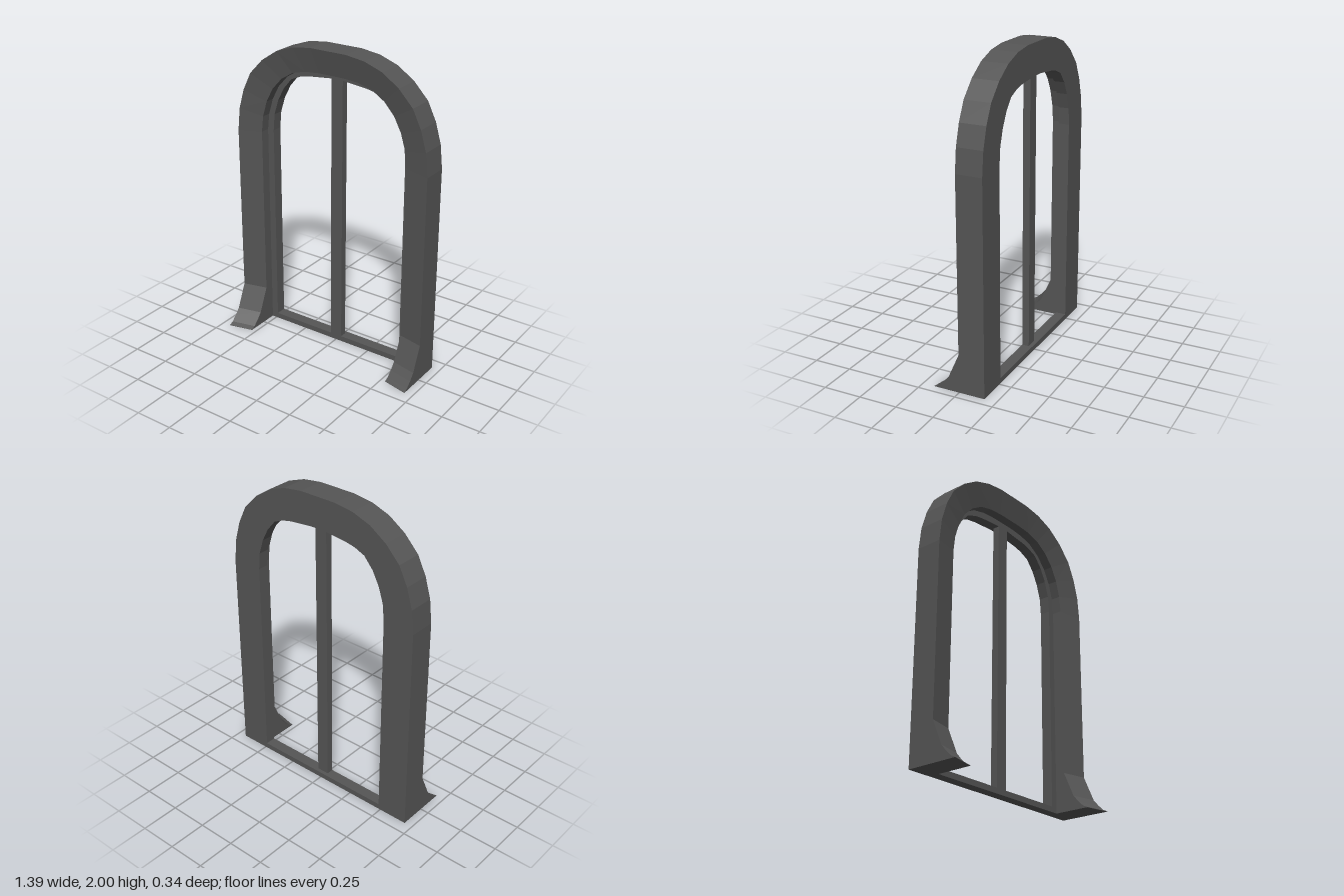
import * as THREE from 'three';

// Flat-shaded geometry from a list of polygons (each fanned from its first corner)
function fromPolygons(polys, flip = false) {
  const pos = [];
  for (const p of polys) {
    for (let i = 1; i < p.length - 1; i++) {
      const tri = flip ? [p[0], p[i + 1], p[i]] : [p[0], p[i], p[i + 1]];
      tri.forEach((v) => pos.push(...v));
    }
  }
  const g = new THREE.BufferGeometry();
  g.setAttribute('position', new THREE.Float32BufferAttribute(pos, 3));
  g.computeVertexNormals();
  return g;
}

// Right half of an arch outline, mirrored to run from right foot to left foot
function archPath(half) {
  return [...half, ...half.slice().reverse().map(([x, y]) => [-x, y])];
}

const HALF = 0.694, REVEAL = 0.532, BACK = -0.17, SLOPE = -0.037, LIP = -0.1;

const outer = archPath([[HALF, 0], [HALF, 1.37], [0.678, 1.52], [0.64, 1.65], [0.583, 1.766],
  [0.487, 1.866], [0.376, 1.94], [0.254, 1.983], [0.127, 2]]);
const reveal = archPath([[REVEAL, 0], [REVEAL, 1.38], [0.52, 1.485], [0.488, 1.59], [0.44, 1.68],
  [0.37, 1.757], [0.285, 1.81], [0.19, 1.835], [0.09, 1.843]]);
const opening = archPath([[0.487, 0], [0.487, 1.38], [0.477, 1.49], [0.445, 1.59], [0.4, 1.675],
  [0.34, 1.745], [0.27, 1.774], [0.207, 1.787], [0.05, 1.803]]);

// Stepped frame section swept round the arch
function frameGeometry() {
  const rails = [[outer, 0], [outer, BACK], [opening, BACK], [opening, LIP], [reveal, LIP], [reveal, SLOPE]];
  const sections = outer.map((_, i) => rails.map(([path, z]) => [...path[i], z]));
  const polys = [];
  for (let i = 0; i < sections.length - 1; i++) {
    const a = sections[i], b = sections[i + 1];
    for (let j = 0; j < 6; j++) {
      const k = (j + 1) % 6;
      polys.push([a[j], a[k], b[k], b[j]]);
    }
  }
  // Undersides of the legs, fanned from the inside corner of the step
  const cap = (s) => [s[4], s[5], s[0], s[1], s[2], s[3]];
  polys.push(cap(sections[0]).reverse().slice(-1).concat(cap(sections[0]).reverse().slice(0, -1)));
  polys.push(cap(sections[sections.length - 1]));
  return fromPolygons(polys);
}

// Flared foot with a concave front, side = 1 or -1
function footGeometry(side) {
  const profile = [[0, 0.25], [0.07, 0.09], [0.106, 0.048], [0.14, 0.016], [0.17, 0.002], [0.17, 0], [0, 0]];
  const out = profile.map(([z, y]) => [side * HALF, y, z]);
  const inn = profile.map(([z, y]) => [side * REVEAL, y, z + SLOPE]);
  const polys = [];
  for (let i = 0; i < profile.length - 1; i++) {
    polys.push([inn[i], inn[i + 1], out[i + 1], out[i]]);
    polys.push([out[6], out[i], out[i + 1]], [inn[6], inn[i + 1], inn[i]]);
  }
  return fromPolygons(polys, side < 0);
}

export function createModel() {
  const model = new THREE.Group();
  model.name = 'archedWindowFrame';
  const stone = new THREE.MeshStandardMaterial({ color: 0x555555 });
  stone.name = 'darkGrey';

  const add = (name, geometry, x = 0, y = 0, z = 0) => {
    const mesh = new THREE.Mesh(geometry, stone);
    mesh.name = name;
    mesh.position.set(x, y, z);
    model.add(mesh);
  };

  add('archFrame', frameGeometry());
  add('leftFoot', footGeometry(1));
  add('rightFoot', footGeometry(-1));

  // Sill and central mullion
  add('sill', new THREE.BoxGeometry(0.974, 0.036, LIP - BACK), 0, 0.018, (LIP + BACK) / 2);
  add('mullion', new THREE.BoxGeometry(0.082, 1.77, 0.046), 0, 0.92, LIP - 0.023);

  return model;
}
